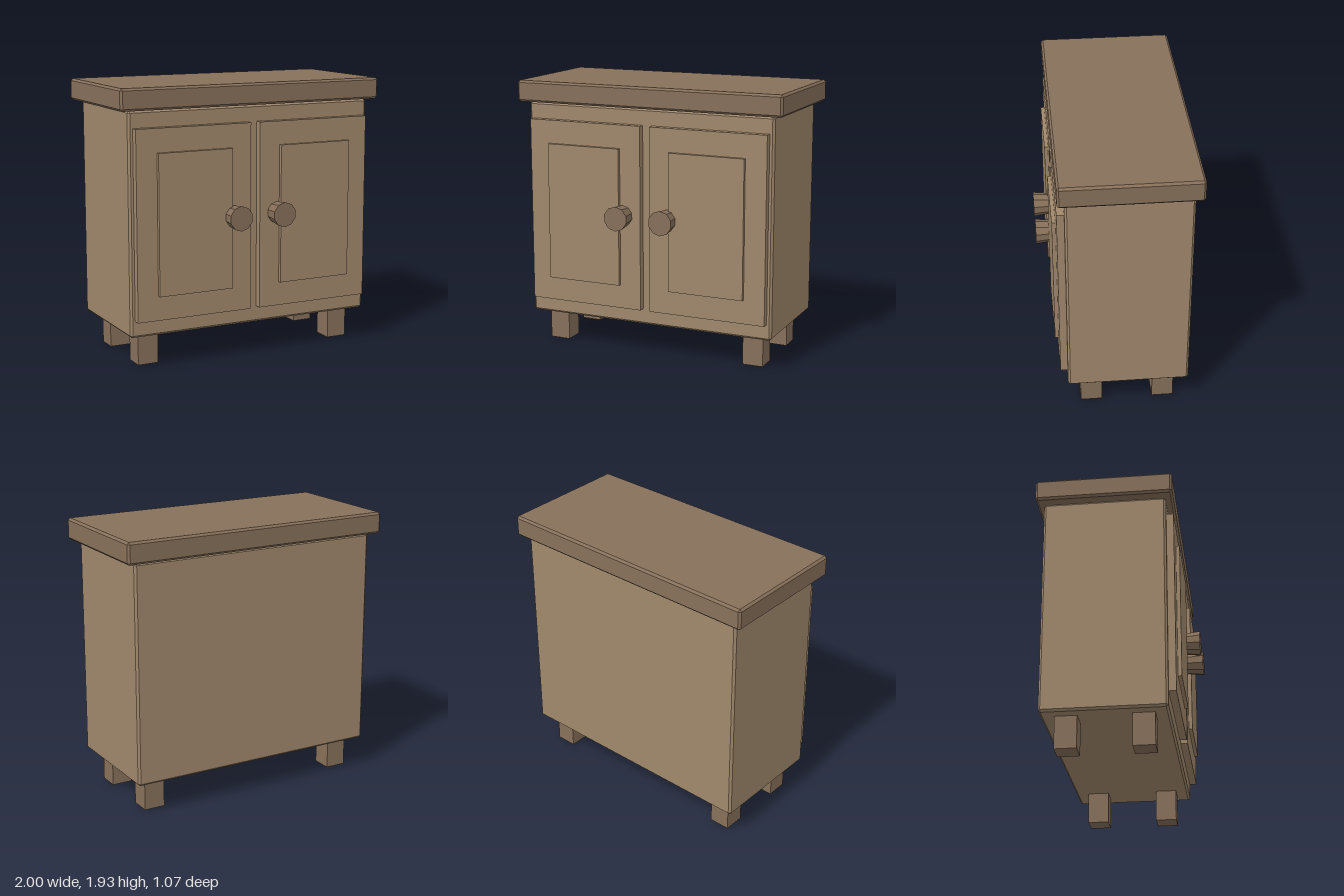
import * as THREE from 'three';
import { ConvexGeometry } from 'three/addons/geometries/ConvexGeometry.js';

const lightWood = new THREE.MeshStandardMaterial({ color: 0xa0886c, flatShading: true });
const darkWood = new THREE.MeshStandardMaterial({ color: 0x87705a, flatShading: true });

function addMesh(parent, name, geometry, material) {
  const mesh = new THREE.Mesh(geometry, material);
  mesh.name = name;
  parent.add(mesh);
  return mesh;
}

// Box given by its limits on each axis
function addBox(parent, name, material, [x0, x1], [y0, y1], [z0, z1]) {
  const mesh = addMesh(parent, name, new THREE.BoxGeometry(x1 - x0, y1 - y0, z1 - z0), material);
  mesh.position.set((x0 + x1) / 2, (y0 + y1) / 2, (z0 + z1) / 2);
  return mesh;
}

// Box with every edge cut by a flat chamfer: three points per corner
function chamferBox(w, h, d, c) {
  const points = [];
  for (const x of [-1, 1]) for (const y of [-1, 1]) for (const z of [-1, 1]) {
    for (let axis = 0; axis < 3; axis++) {
      const inset = [c, c, c];
      inset[axis] = 0;
      points.push(new THREE.Vector3(
        x * (w / 2 - inset[0]), y * (h / 2 - inset[1]), z * (d / 2 - inset[2])));
    }
  }
  return new ConvexGeometry(points);
}

export function createModel() {
  const cabinet = new THREE.Group();
  cabinet.name = 'cabinet';

  // Carcass and overhanging worktop
  addMesh(cabinet, 'body', chamferBox(1.86, 1.555, 0.845, 0.015), lightWood)
    .position.set(0, 1.003, -0.059);
  addMesh(cabinet, 'worktop', chamferBox(2, 0.152, 0.946, 0.015), darkWood)
    .position.set(0, 1.858, -0.059);

  for (const side of [-1, 1]) {
    const label = side > 0 ? 'left' : 'right';
    const span = (a, b) => (side > 0 ? [a, b] : [-b, -a]);

    // Door with raised panel and faceted knob
    const door = new THREE.Group();
    door.name = label + 'Door';
    addBox(door, 'doorSlab', lightWood, span(0.035, 0.897), [0.342, 1.663], [0.35, 0.414]);
    addBox(door, 'doorPanel', lightWood, span(0.19, 0.745), [0.513, 1.497], [0.40, 0.44]);
    const knob = addMesh(door, 'knob', new THREE.CylinderGeometry(0.088, 0.073, 0.135, 10), darkWood);
    knob.rotation.x = Math.PI / 2;
    knob.position.set(side * 0.17, 1.02, 0.467);
    cabinet.add(door);

    // Square feet
    for (const [place, z] of [['Front', 0.197], ['Back', -0.312]]) {
      addBox(cabinet, label + place + 'Leg', darkWood,
        span(0.69, 0.84), [0, 0.24], [z - 0.075, z + 0.075]);
    }
  }
  return cabinet;
}
